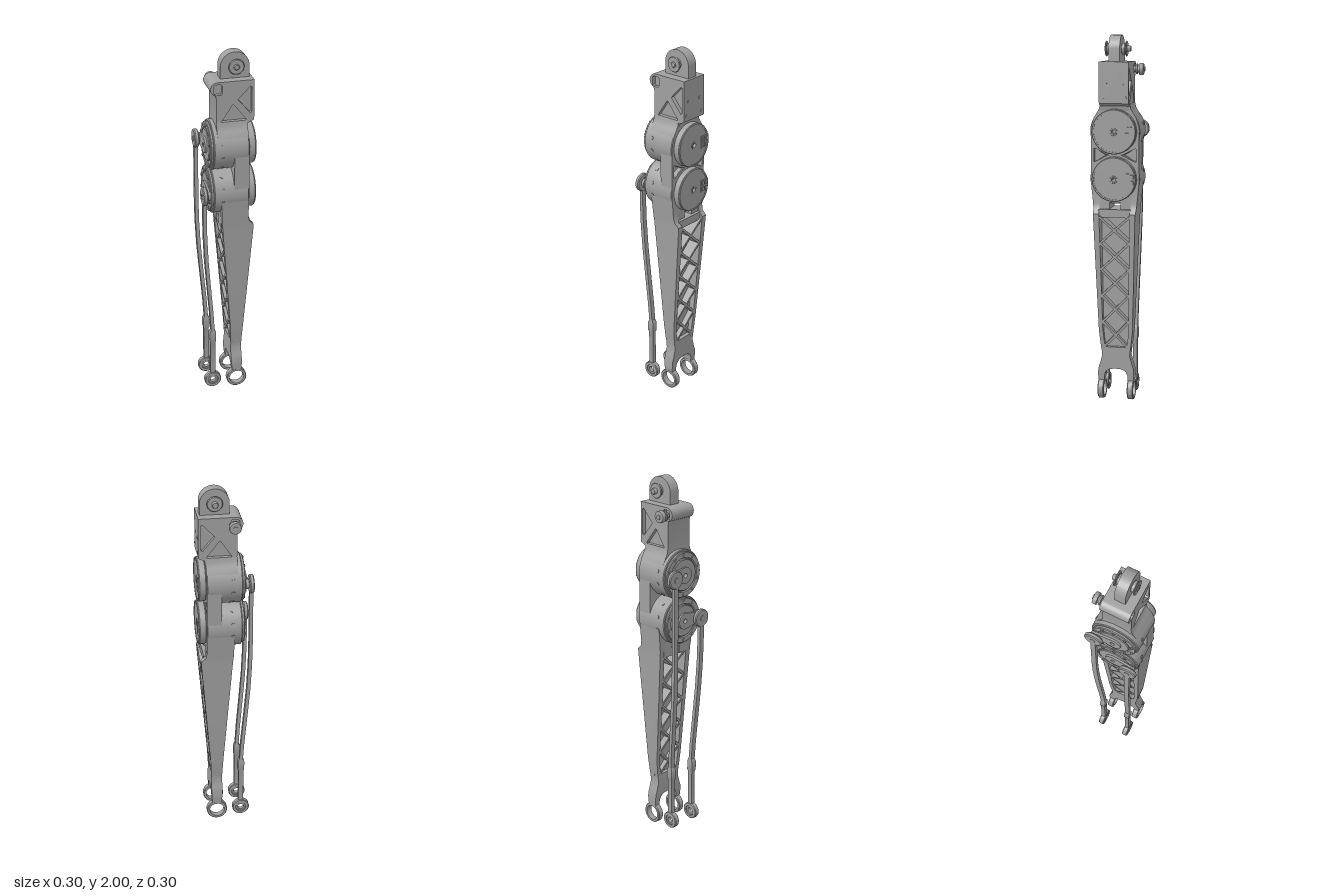
import * as THREE from 'three';
import { toCreasedNormals } from 'three/addons/utils/BufferGeometryUtils.js';

export function createModel() {
  const root = new THREE.Group();
  root.name = 'legAssembly';
  const metal = new THREE.MeshStandardMaterial({ color: 0xa0a0a0 });
  metal.name = 'grey metal';

  const add = (name, geo, parent = root) => {
    const flat = geo.index ? geo.toNonIndexed() : geo;
    const mesh = new THREE.Mesh(toCreasedNormals(flat, 0.6), metal);
    mesh.name = name;
    parent.add(mesh);
    return mesh;
  };
  const group = (name) => {
    const g = new THREE.Group();
    g.name = name;
    root.add(g);
    return g;
  };
  const box = (x0, x1, y0, y1, z0, z1) =>
    new THREE.BoxGeometry(x1 - x0, y1 - y0, z1 - z0).translate((x0 + x1) / 2, (y0 + y1) / 2, (z0 + z1) / 2);

  // Turned part: profile of [radius, position along axis]
  const spin = (profile, axis, x, y, z, sides = 40) => {
    const g = new THREE.LatheGeometry(profile.map((p) => new THREE.Vector2(p[0], p[1])), sides);
    if (axis === 'x') g.rotateZ(-Math.PI / 2);
    if (axis === 'z') g.rotateX(Math.PI / 2);
    return g.translate(x, y, z);
  };
  const ring = (rIn, rOut, a, b, c = 0.004) =>
    [[rIn, a], [rOut - c, a], [rOut, a + c], [rOut, b - c], [rOut - c, b], [rIn, b], [rIn, a]];

  // Stack of rectangles, rows from bottom to top: [y, x0, x1, z0, z1]
  const loft = (rows) => {
    const pos = [], idx = [];
    for (const [y, x0, x1, z0, z1] of rows) pos.push(x0, y, z1, x1, y, z1, x1, y, z0, x0, y, z0);
    for (let r = 0; r < rows.length - 1; r++) {
      for (let k = 0; k < 4; k++) {
        const a = r * 4 + k, b = r * 4 + (k + 1) % 4;
        idx.push(a, b, b + 4, a, b + 4, a + 4);
      }
    }
    const t = (rows.length - 1) * 4;
    idx.push(0, 2, 1, 0, 3, 2, t, t + 1, t + 2, t, t + 2, t + 3);
    const g = new THREE.BufferGeometry();
    g.setAttribute('position', new THREE.Float32BufferAttribute(pos, 3));
    g.setIndex(idx);
    return g;
  };
  const mirrorRows = (rows, s) => rows.map(([y, a, b, c, d]) => (s > 0 ? [y, a, b, c, d] : [y, a, b, -d, -c]));
  const vectors = (pts) => pts.map((p) => new THREE.Vector2(p[0], p[1]));
  const slab = (shape, depth) => new THREE.ExtrudeGeometry(shape, { depth, bevelEnabled: false, curveSegments: 20 });

  // Top knuckle with its pin
  const knuckle = group('topKnuckle');
  const tab = new THREE.Shape();
  tab.moveTo(-0.033, 1.82);
  tab.lineTo(0.123, 1.82);
  tab.lineTo(0.123, 1.922);
  tab.absarc(0.045, 1.922, 0.078, 0, Math.PI);
  add('knuckleTab', slab(tab, 0.06).translate(0, 0, -0.03), knuckle);
  add('knucklePin', spin([[0, -0.078], [0.014, -0.078], [0.016, -0.074], [0.016, 0.06], [0.012, 0.064], [0, 0.064]], 'z', 0.047, 1.927, 0), knuckle);
  for (const s of [-1, 1]) {
    add('pinCollar', spin(ring(0.01, 0.03, 0.028, 0.05), 'z', 0.047, 1.927, s < 0 ? -0.078 : 0), knuckle);
    add('pinFlange', spin(ring(0.01, 0.042, 0.05, 0.058), 'z', 0.047, 1.927, s < 0 ? -0.108 : 0), knuckle);
  }

  // Upper bracket: solid core and pocketed cheek plates
  const bracket = group('upperBracket');
  const outline = (withPockets) => {
    const s = new THREE.Shape();
    s.moveTo(-0.066, 1.6);
    s.lineTo(0.1, 1.6);
    s.lineTo(0.105, 1.625);
    s.lineTo(0.137, 1.64);
    s.lineTo(0.137, 1.86);
    s.lineTo(-0.06, 1.86);
    s.absarc(-0.06, 1.823, 0.037, Math.PI / 2, Math.PI * 1.4);
    s.lineTo(-0.066, 1.77);
    if (withPockets) {
      s.holes.push(new THREE.Path(vectors([[-0.042, 1.637], [0.02, 1.73], [0.028, 1.73], [0.094, 1.645], [0.092, 1.637]])));
      s.holes.push(new THREE.Path(vectors([[0.05, 1.757], [0.115, 1.826], [0.124, 1.822], [0.124, 1.685], [0.115, 1.68]])));
      s.holes.push(new THREE.Path(vectors([[-0.078, 1.797], [-0.078, 1.84], [-0.07, 1.847], [-0.04, 1.847], [-0.034, 1.84], [-0.034, 1.797], [-0.04, 1.79], [-0.07, 1.79]])));
    }
    return s;
  };
  add('bracketCore', slab(outline(false), 0.116).translate(0, 0, -0.058), bracket);
  for (const z of [-0.08, 0.058]) add('bracketCheek', slab(outline(true), 0.022).translate(0, 0, z), bracket);
  add('bracketFillet', loft([
    [1.49, -0.066, 0.1, -0.134, 0.134], [1.56, -0.066, 0.1, -0.116, 0.116], [1.59, -0.066, 0.1, -0.098, 0.098],
    [1.61, -0.066, 0.1, -0.086, 0.086], [1.64, -0.066, 0.1, -0.08, 0.08]]), bracket);
  for (const [y, z] of [[1.745, 0.045], [1.745, -0.045], [1.67, 0.06], [1.67, -0.06]]) {
    add('bracketScrew', spin([[0, 0], [0.009, 0], [0.009, 0.003], [0, 0.003]], 'x', 0.137, y, z, 14), bracket);
  }
  add('sideStud', spin([[0, -0.137], [0.013, -0.137], [0.013, -0.132], [0.03, -0.13], [0.032, -0.126], [0.032, -0.108],
    [0.02, -0.106], [0.02, -0.1], [0.028, -0.098], [0.028, -0.09], [0.017, -0.088], [0.017, -0.07]], 'z', -0.05, 1.817, 0), bracket);

  // Two stacked actuators; each crank points to its own side
  for (const [label, cy, side] of [['upper', 1.49, -1], ['lower', 1.235, 1]]) {
    const act = group(label + 'Actuator');
    add('housing', spin(ring(0.012, 0.135, -0.09, 0.1), 'x', 0, cy, 0, 64), act);
    add('endDisc', spin(ring(0.012, 0.12, 0.1, 0.139), 'x', 0, cy, 0, 64), act);
    add('discRim', spin(ring(0.108, 0.117, 0.138, 0.142, 0.001), 'x', 0, cy, 0, 64), act);
    add('centreBoss', spin(ring(0.012, 0.02, 0.138, 0.142, 0.001), 'x', 0, cy, 0), act);
    // Connector block of four cells
    add('connector', box(0.138, 0.142, cy - 0.034, cy + 0.034, -0.114, -0.058), act);
    for (const dy of [-0.016, 0.016]) for (const dz of [-0.099, -0.073]) {
      add('connectorCell', box(0.141, 0.147, cy + dy - 0.011, cy + dy + 0.011, dz - 0.009, dz + 0.009), act);
    }
    // Output side
    add('outputRing', spin(ring(0.095, 0.125, -0.105, -0.088), 'x', 0, cy, 0, 64), act);
    add('outputPlate', spin(ring(0.012, 0.088, -0.108, -0.088), 'x', 0, cy, 0, 48), act);
    for (let i = 0; i < 10; i++) {
      const a = (i / 10) * Math.PI * 2 + 0.3;
      add('ringScrew', spin([[0, -0.11], [0.008, -0.11], [0.008, -0.1]].map((p) => p), 'x', 0, cy + 0.11 * Math.sin(a), 0.11 * Math.cos(a), 10), act);
    }
    const crank = new THREE.Shape();
    crank.absarc(0, 0, 0.045, Math.PI / 2, Math.PI * 1.5);
    crank.absarc(0.098, 0, 0.028, -Math.PI / 2, Math.PI / 2);
    crank.holes.push(new THREE.Path().absarc(0, 0, 0.012, 0, Math.PI * 2, true));
    add('crank', slab(crank, 0.012).rotateY(side < 0 ? Math.PI / 2 : -Math.PI / 2)
      .translate(side < 0 ? -0.119 : -0.107, cy, 0), act);
    add('crankPin', spin([[0, -0.152], [0.014, -0.152], [0.016, -0.148], [0.016, -0.126], [0.026, -0.124], [0.026, -0.117]], 'x', 0, cy, side * 0.098), act);
    // Radial screws on front and back
    for (const s of [-1, 1]) for (const dy of [-0.1, -0.035, 0.035, 0.1]) {
      const a = Math.asin(dy / 0.135);
      const screw = add('housingScrew', new THREE.CylinderGeometry(0.01, 0.01, 0.006, 12), act);
      screw.position.set(-0.04, cy + dy, s * 0.135 * Math.cos(a));
      screw.rotation.x = s * (Math.PI / 2 - a);
    }
  }

  // Web joining the housings, with triangular pockets
  const web = group('housingWeb');
  add('webBack', box(0.02, 0.07, 1.235, 1.49, -0.13, 0.13), web);
  const webShape = new THREE.Shape(vectors([[-0.13, 1.235], [0.13, 1.235], [0.13, 1.49], [-0.13, 1.49]]));
  for (const s of [-1, 1]) {
    webShape.holes.push(new THREE.Path(vectors([[s * 0.115, 1.4], [s * 0.115, 1.325], [s * 0.03, 1.362]])));
  }
  add('webFace', slab(webShape, 0.03).rotateY(Math.PI / 2).translate(0.07, 0, 0), web);

  // Shin: tapered side walls, truss, yoke and fork
  const shin = group('shin');
  const wall = [
    [0.28, 0.014, 0.075, 0.055, 0.08], [0.34, 0.011, 0.077, 0.066, 0.088], [0.4, 0.008, 0.081, 0.072, 0.094],
    [1.02, -0.04, 0.13, 0.082, 0.114], [1.045, -0.042, 0.131, 0.084, 0.115], [1.07, -0.045, 0.106, 0.085, 0.117],
    [1.1, -0.046, 0.1, 0.085, 0.12], [1.22, -0.05, 0.1, 0.085, 0.132]];
  const prong = [
    [0.1, 0.02, 0.07, 0.066, 0.098], [0.14, 0.016, 0.074, 0.064, 0.1], [0.16, 0.014, 0.075, 0.056, 0.1],
    [0.175, 0.013, 0.075, 0.035, 0.098], [0.178, 0.013, 0.075, 0, 0.098], [0.21, 0.013, 0.075, 0, 0.088], [0.25, 0.013, 0.075, 0, 0.077],
    [0.29, 0.013, 0.075, 0, 0.08], [0.3, 0.014, 0.075, 0, 0.081]];
  for (const s of [-1, 1]) {
    add('sideWall', loft(mirrorRows(wall, s)), shin);
    add('forkProng', loft(mirrorRows(prong, s)), shin);
    add('forkEye', spin(ring(0.042, 0.058, -0.017, 0.017), 'z', 0.045, 0.06, s * 0.082), shin);
    add('windowPost', box(-0.044, 0.1, 1.03, 1.16, s > 0 ? 0.03 : -0.09, s > 0 ? 0.09 : -0.03), shin);
  }
  add('topCrossbar', box(-0.04, 0.115, 1.025, 1.07, -0.09, 0.09), shin);
  add('trussWeb', box(0.038, 0.052, 0.29, 1.04, -0.083, 0.083), shin);
  const halfDepth = (y) => 0.031 + (y - 0.3) * 0.07;
  const cells = 5, y0 = 0.295, pitch = (1.03 - y0) / cells;
  for (let i = 0; i < cells; i++) for (const s of [-1, 1]) {
    const half = 0.07 + i * 0.003;
    const rib = new THREE.BoxGeometry(2, 0.013, Math.hypot(pitch, half * 2), 1, 1, 4);
    rib.rotateX(s * Math.atan2(pitch, half * 2)).translate(0, y0 + (i + 0.5) * pitch, 0);
    // Rib depth follows the taper of the walls
    const p = rib.attributes.position;
    for (let k = 0; k < p.count; k++) p.setX(k, 0.045 + p.getX(k) * halfDepth(p.getY(k)));
    add('trussRib', rib, shin);
  }

  // Push rods, one on each side
  for (const [s, top] of [[-1, 1.49], [1, 1.235]]) {
    const rod = group('pushRod');
    const path = [[0.37, -0.092, 0.08], [0.5, -0.1, 0.083], [0.7, -0.117, 0.088], [0.85, -0.129, 0.092], [1.0, -0.136, 0.096],
      [1.12, -0.138, 0.098], [top - 0.04, -0.138, 0.098]];
    const rows = path.map(([y, x, z]) => [y, x - 0.01, x + 0.01, z - 0.014, z + 0.014]);
    add('rodBar', loft(mirrorRows(rows, s)), rod);
    const sleeve = [[0.1, 0.014, 0.012], [0.31, 0.014, 0.012], [0.32, 0.018, 0.016], [0.375, 0.018, 0.016], [0.39, 0.011, 0.013]]
      .map(([y, w, d]) => [y, -0.093 - w, -0.093 + w, 0.08 - d, 0.08 + d]);
    add('rodSleeve', loft(mirrorRows(sleeve, s)), rod);
    add('topEye', spin(ring(0.014, 0.05, -0.012, 0.012, 0.005), 'x', -0.138, top, s * 0.098), rod);
    add('bottomEye', spin(ring(0.03, 0.048, -0.015, 0.015), 'z', -0.093, 0.063, s * 0.08), rod);
    add('eyeBearing', spin(ring(0.017, 0.031, -0.011, 0.011), 'z', -0.093, 0.063, s * 0.08), rod);
  }
  return root;
}
